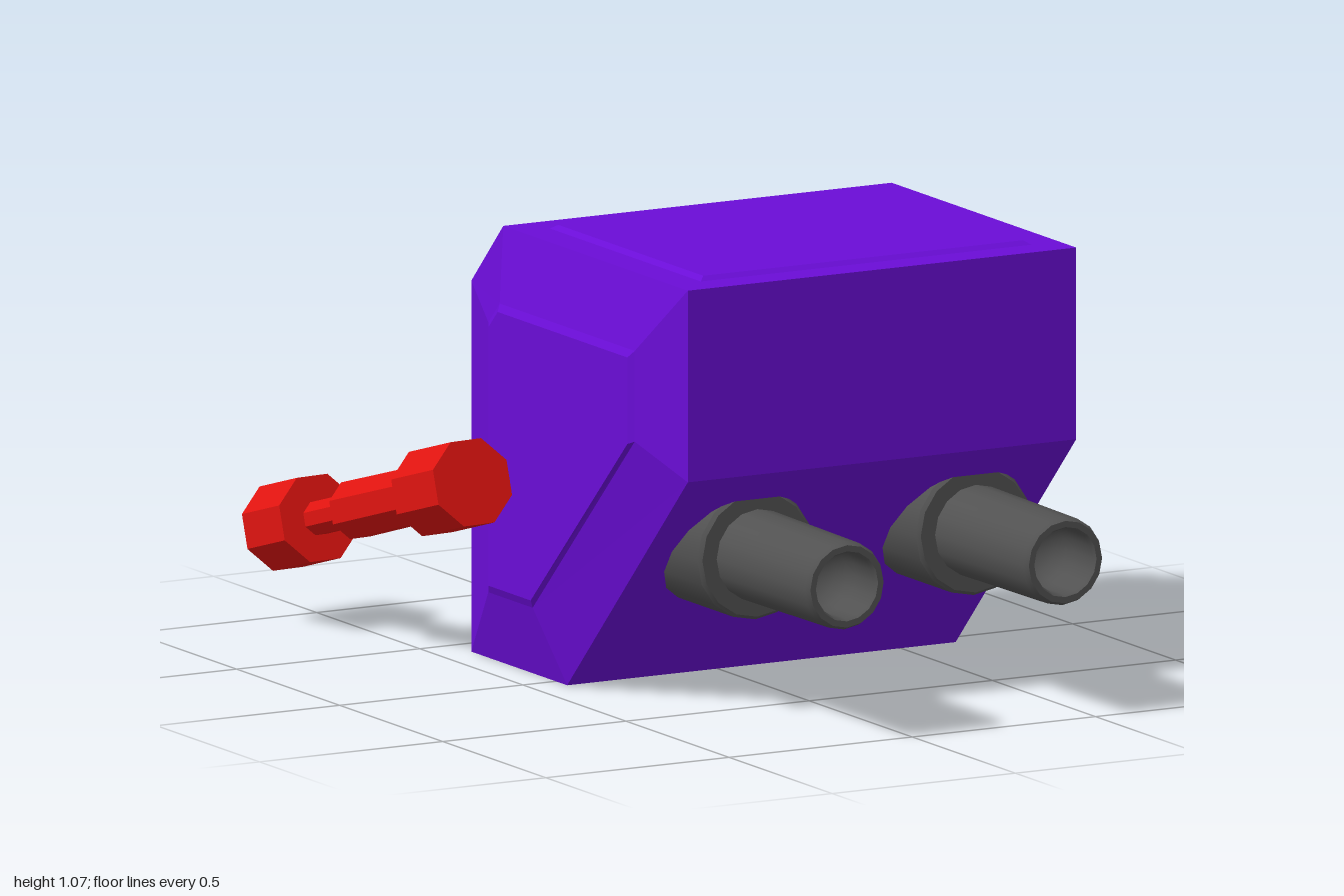
import * as THREE from 'three';
import { toCreasedNormals } from 'three/addons/utils/BufferGeometryUtils.js';

const mat = (color, opts = {}) => new THREE.MeshStandardMaterial({ color, ...opts });

function add(parent, name, geometry, material) {
  const mesh = new THREE.Mesh(geometry, material);
  mesh.name = name;
  parent.add(mesh);
  return mesh;
}

// Flat-faced skin through equal-sized loops of [x, y, z]; skip(loop, edge) leaves a face open
function loft(loops, { start = false, end = false, skip = () => false } = {}) {
  const pos = [];
  const tri = (a, b, c) => pos.push(...a, ...b, ...c);
  const n = loops[0].length;
  for (let k = 0; k < loops.length - 1; k++) {
    for (let i = 0; i < n; i++) {
      if (skip(k, i)) continue;
      const j = (i + 1) % n, A = loops[k], B = loops[k + 1];
      tri(A[i], B[i], B[j]);
      tri(A[i], B[j], A[j]);
    }
  }
  const first = loops[0], last = loops[loops.length - 1];
  for (let i = 1; i < n - 1; i++) {
    if (start) tri(first[0], first[i], first[i + 1]);
    if (end) tri(last[0], last[i + 1], last[i]);
  }
  const g = new THREE.BufferGeometry();
  g.setAttribute('position', new THREE.Float32BufferAttribute(pos, 3));
  g.computeVertexNormals();
  return g;
}

export function createModel() {
  const model = new THREE.Group();
  const purple = mat(0x6a0dd6, { flatShading: true });
  const green = mat(0x52b80c);
  const grey = mat(0x525252);
  const red = mat(0xe01410, { flatShading: true });
  const midX = 0.12, backZ = -0.41;

  // Body cross-sections as [z, y]: full outline, bevel edge, raised side panel
  const outline = [[0.64, 1.06], [-0.255, 1.06], [backZ, 0.9], [backZ, 0], [0.055, 0], [0.64, 0.595]];
  const bevel = [[0.475, 0.89], [-0.18, 0.89], [-0.235, 0.835], [-0.235, 0.18], [-0.02, 0.18], [0.475, 0.67]];
  const panel = [[0.457, 0.872], [-0.172, 0.872], [-0.217, 0.827], [-0.217, 0.2], [-0.012, 0.2], [0.457, 0.662]];
  const at = (profile, half) => profile.map(([z, y]) => [midX + half, y, z]);
  const body = new THREE.Group();
  body.name = 'body';
  model.add(body);
  add(body, 'hull', loft([
    at(panel, -0.592), at(bevel, -0.582), at(outline, -0.53),
    at(outline, 0.53), at(bevel, 0.582), at(panel, 0.592),
  ], { start: true, end: true, skip: (k, i) => k === 2 && i === 2 }), purple);

  // Raised panel on the roof
  const rect = (inset, y) => [
    [-0.33 + inset, y, -0.175 + inset], [-0.33 + inset, y, 0.56 - inset],
    [0.575 - inset, y, 0.56 - inset], [0.575 - inset, y, -0.175 + inset],
  ].reverse();
  add(body, 'roofPanel', loft([rect(0, 1.059), rect(0.016, 1.07)], { end: true }), purple);

  // Back wall with a diamond opening, its sloping frame and the window
  const diamond = (r, z) => [0, 1, 2, 3].map(i => {
    const a = i * Math.PI / 2;
    return [midX + r * Math.cos(a), 0.45 + r * Math.sin(a), z];
  });
  const wall = new THREE.Shape([[-0.53, 0], [0.53, 0], [0.53, 0.9], [-0.53, 0.9]].map(p => new THREE.Vector2(...p)));
  wall.holes.push(new THREE.Path([[0.263, 0.45], [0, 0.187], [-0.263, 0.45], [0, 0.713]].map(p => new THREE.Vector2(...p))));
  const backWall = add(body, 'backWall', new THREE.ShapeGeometry(wall), purple);
  backWall.rotation.y = Math.PI;
  backWall.position.set(midX, 0, backZ);
  add(body, 'windowFrame', loft([diamond(0.263, backZ), diamond(0.2, backZ + 0.045)]), purple);
  const pane = add(body, 'window', new THREE.CircleGeometry(0.2, 4), green);
  pane.rotation.y = Math.PI;
  pane.position.set(midX, 0.45, backZ + 0.045);

  // Two barrels: wide collar, tube and a bore with a rounded bottom, as [radius, z]
  const bore = [0, 1, 2, 3, 4].map(i => {
    const a = i * Math.PI / 8;
    return [0.08 * Math.cos(a), 0.9 - 0.08 * Math.sin(a)];
  });
  const barrelProfile = [
    [0, 0.2], [0.158, 0.2], [0.158, 0.555], [0.15, 0.565], [0.111, 0.565],
    [0.107, 0.985], [0.1, 1], [0.085, 1], [0.08, 0.99], ...bore,
  ].map(p => new THREE.Vector2(...p));
  const barrelGeometry = toCreasedNormals(new THREE.LatheGeometry(barrelProfile, 16).rotateX(Math.PI / 2), 0.6);
  for (const side of [-1, 1]) {
    const barrel = add(model, side < 0 ? 'rightBarrel' : 'leftBarrel', barrelGeometry, grey);
    barrel.position.set(midX + side * 0.298, 0.383, 0);
  }

  // Eight-sided stepped lever beside the body, ending in an open cup, as [radius, distance]
  const leverProfile = [
    [0, 0], [0.11, 0], [0.11, 0.205], [0.072, 0.205], [0.074, 0.573], [0.043, 0.573],
    [0.043, 0.755], [0.11, 0.755], [0.11, 0.938], [0.08, 0.938], [0.072, 0.84], [0, 0.84],
  ].map(p => new THREE.Vector2(...p));
  const lever = add(model, 'lever', new THREE.LatheGeometry(leverProfile, 8, Math.PI / 8), red);
  const from = new THREE.Vector3(-0.598, 0.489, -0.07);
  const to = new THREE.Vector3(-0.613, 0.225, -0.97);
  lever.position.copy(from);
  lever.quaternion.setFromUnitVectors(new THREE.Vector3(0, 1, 0), to.sub(from).normalize());

  return model;
}
